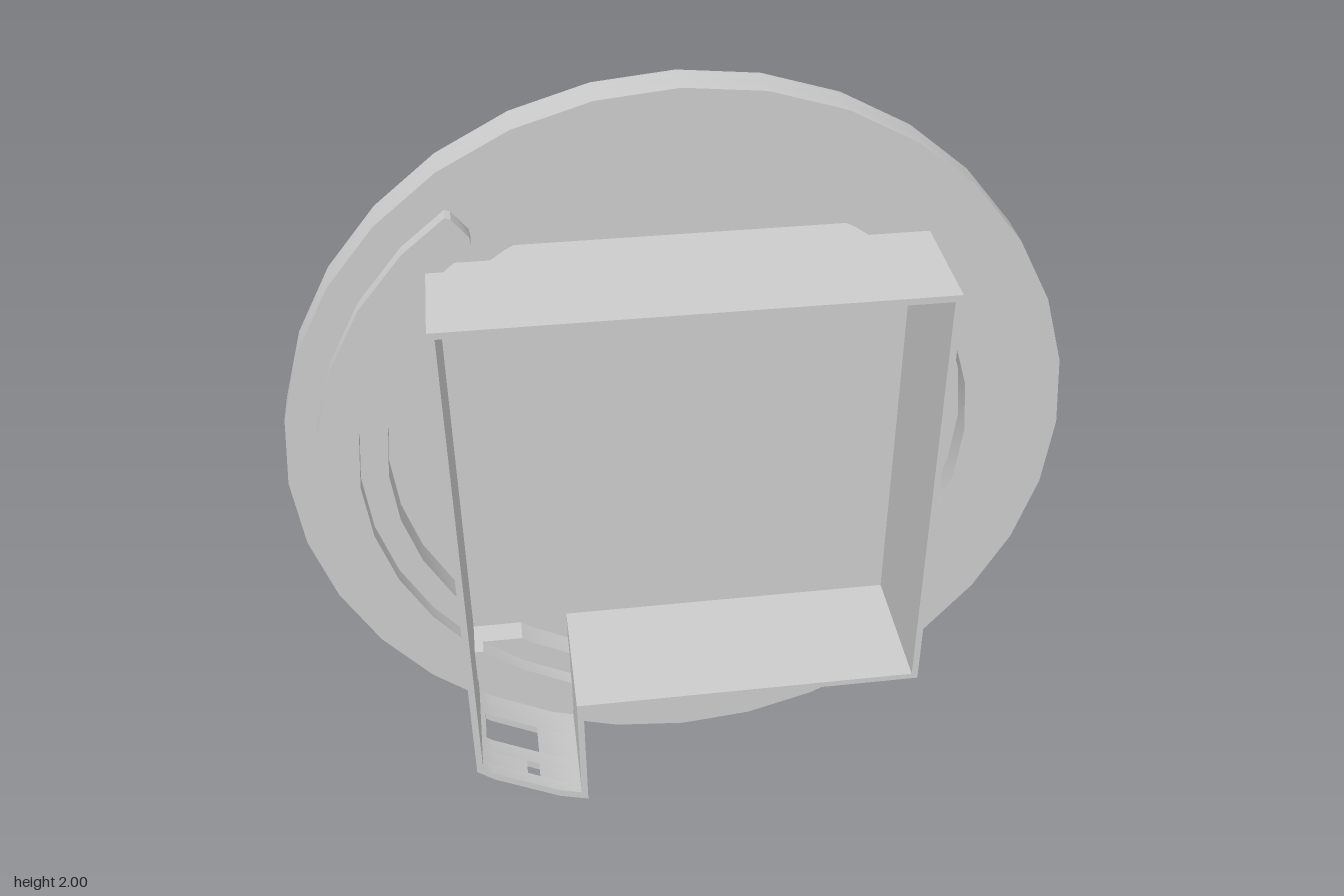
import * as THREE from 'three';
import { toCreasedNormals } from 'three/addons/utils/BufferGeometryUtils.js';

const STEP = Math.PI / 16;            // facet angle of the round parts
const BACK = -0.2, FLOOR = -0.165, FACE = -0.1, TRACK = -0.06, FRONT = 0.2;
const HALF = 0.6, WALL = 0.017;       // square frame half size and wall thickness
const deg = THREE.MathUtils.degToRad;

const polar = (r, a) => new THREE.Vector2(r * Math.cos(a), r * Math.sin(a));
// radius of the union of a circle and the square frame in direction a
const withSquare = (r, a) => Math.max(r, HALF / Math.max(Math.abs(Math.cos(a)), Math.abs(Math.sin(a))));
// height of the faceted disc's lower rim at x
function rim(x) {
  const a = Math.atan2(-Math.sqrt(1 - x * x), x);
  const m = (Math.floor(a / STEP) + 0.5) * STEP;
  return (Math.cos(STEP / 2) - x * Math.cos(m)) / Math.sin(m);
}
// facet angles, plus those where a circle of radius r crosses the square
function angles(r, from, to) {
  const list = [];
  for (let i = 0; i < 32; i++) list.push(i * STEP);
  const c = Math.acos(HALF / r);
  for (let q = 0; q < 4; q++) list.push(q * Math.PI / 2 + c, (q + 1) * Math.PI / 2 - c);
  return list.filter(a => a >= from && a < to).sort((p, q) => p - q);
}

export function createModel() {
  const group = new THREE.Group();
  const material = new THREE.MeshStandardMaterial({ color: 0xcccccc });

  function slab(name, shape, z0, z1, parent = group) {
    const geo = new THREE.ExtrudeGeometry(shape, { depth: z1 - z0, bevelEnabled: false });
    geo.translate(0, 1, z0);
    const mesh = new THREE.Mesh(toCreasedNormals(geo, 0.5), material);
    mesh.name = name;
    parent.add(mesh);
  }
  const round = () => new THREE.Shape(Array.from({ length: 32 }, (_, i) => polar(1, i * STEP)));

  // Disc: solid back and a thicker ring around the recess
  slab('discBack', round(), BACK, FLOOR);
  const ring = round();
  ring.holes.push(new THREE.Path(
    angles(0.75, 0, Math.PI * 2).map(a => polar(withSquare(0.75, a), a)).reverse()));
  slab('discRing', ring, FLOOR, FACE);

  // Raised curved rib with rounded ends, cut away inside the frame
  const a0 = deg(125.7), a1 = deg(298.3);
  const outer = [polar(0.905, a0 + 0.003), polar(0.917, a0 + 0.012)], inner = [];
  for (const a of angles(0.82, a0 + 0.04, a1 - 0.04)) {
    if (Math.abs(a / STEP - Math.round(a / STEP)) < 1e-6) outer.push(polar(0.92, a));
    inner.unshift(polar(withSquare(0.82, a), a));
  }
  outer.push(polar(0.917, a1 - 0.012), polar(0.905, a1 - 0.003));
  slab('curvedRib', new THREE.Shape([
    ...outer,
    polar(0.845, a1), polar(0.828, a1 - 0.01), polar(0.82, a1 - 0.032),
    ...inner,
    polar(0.82, a0 + 0.032), polar(0.828, a0 + 0.01), polar(0.845, a0),
  ]), FACE, TRACK);

  // Square frame that opens into a chute at the lower corner
  const H = HALF, I = HALF - WALL, cx = -0.305;
  slab('frameWalls', new THREE.Shape([
    [-H, rim(-H)], [-H, H], [H, H], [H, -H], [cx, -H], [cx, rim(cx)],
    [cx - WALL, rim(cx - WALL)], [cx - WALL, -I], [I, -I], [I, I], [-I, I], [-I, rim(-I)],
  ].map(p => new THREE.Vector2(...p))), FLOOR, FRONT);

  // Chute floor following the disc rim, in strips that leave two openings
  const chute = new THREE.Group();
  chute.name = 'chuteFloor';
  group.add(chute);
  const x0 = -I, x1 = cx - WALL;
  const strips = [
    [x0, x1, FACE, -0.02],
    [x0, -0.57, -0.02, 0.075], [-0.43, x1, -0.02, 0.075],
    [x0, x1, 0.075, 0.12],
    [x0, -0.465, 0.12, 0.165], [-0.432, x1, 0.12, 0.165],
    [x0, x1, 0.165, FRONT],
  ];
  for (const [l, r, z0, z1] of strips) {
    const corners = [polar(1, 21 * STEP).x, polar(1, 22 * STEP).x].filter(x => x > l && x < r);
    const low = [l, ...corners, r].map(x => new THREE.Vector2(x, rim(x)));
    const high = low.map(p => new THREE.Vector2(p.x, p.y + 0.023)).reverse();
    slab('chuteFloorStrip', new THREE.Shape([...low, ...high]), z0, z1, chute);
  }
  return group;
}
